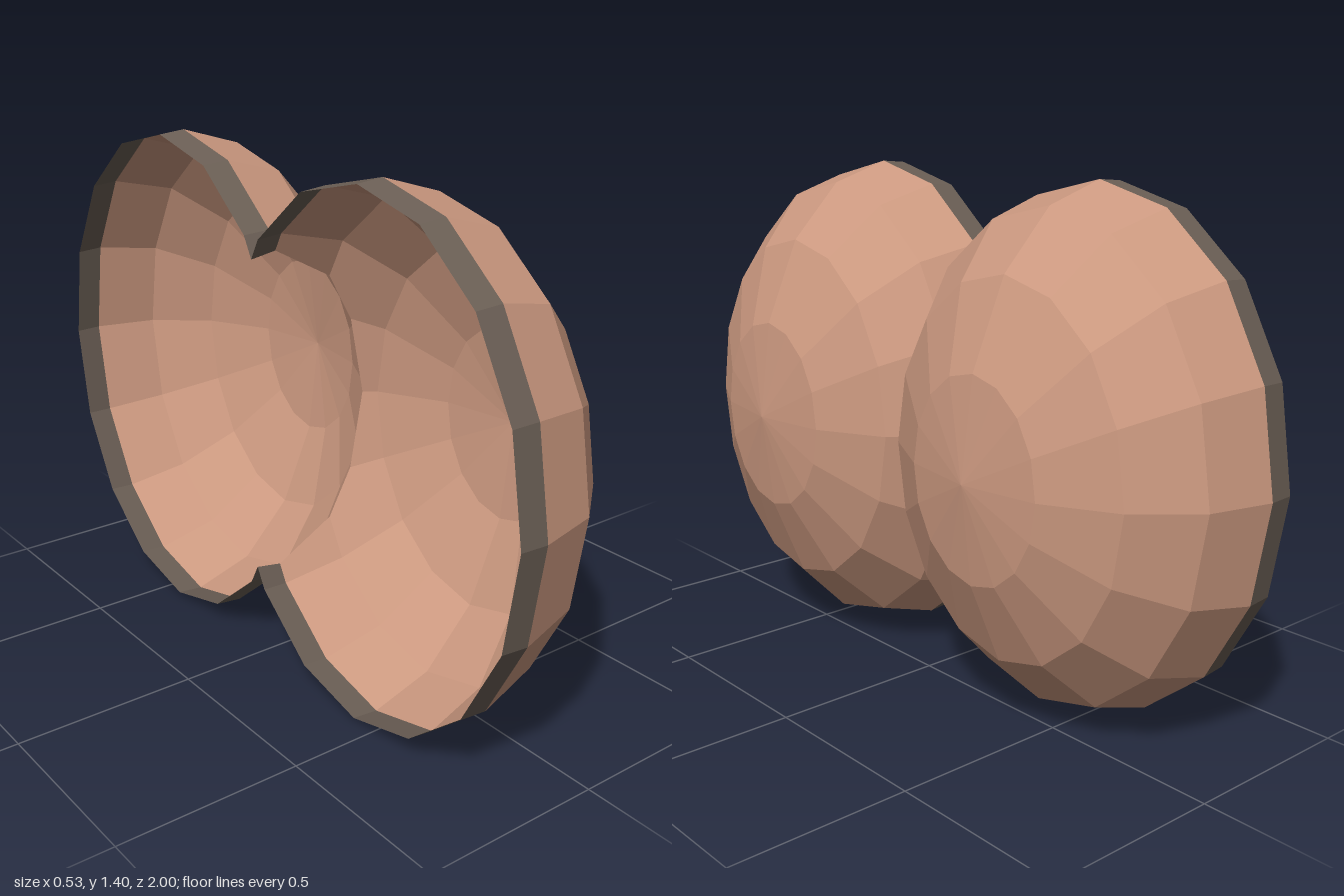
import * as THREE from 'three';

const SIDES = 16, RADIUS_Y = 0.702, RADIUS_Z = 0.57, DEPTH = 0.455;
const BASE_X = -0.19, CENTRE_Z = 0.43;

// Keep only the part of each triangle with z >= 0, so the two shells meet at a clean seam.
function clipAtSeam(geometry) {
  const source = geometry.toNonIndexed().attributes.position;
  const out = [];
  for (let i = 0; i < source.count; i += 3) {
    const corners = [0, 1, 2].map((k) => new THREE.Vector3().fromBufferAttribute(source, i + k));
    const kept = [];
    corners.forEach((a, k) => {
      const b = corners[(k + 1) % 3];
      if (a.z >= 0) kept.push(a);
      if (a.z >= 0 !== b.z >= 0) kept.push(a.clone().lerp(b, a.z / (a.z - b.z)));
    });
    for (let k = 1; k + 1 < kept.length; k++) {
      out.push(...kept[0].toArray(), ...kept[k].toArray(), ...kept[k + 1].toArray());
    }
  }
  const result = new THREE.BufferGeometry();
  result.setAttribute('position', new THREE.Float32BufferAttribute(out, 3));
  result.computeVertexNormals();
  return result;
}

// Revolve a profile of (radius, x) points about the x axis into an oval shell.
function shell(profile) {
  const geometry = new THREE.LatheGeometry(profile, SIDES);
  geometry.rotateZ(-Math.PI / 2);
  geometry.scale(1, RADIUS_Y, RADIUS_Z);
  geometry.translate(0, 0, CENTRE_Z);
  return clipAtSeam(geometry);
}

export function createModel() {
  const model = new THREE.Group();
  model.name = 'twinDomes';

  const domeMaterial = new THREE.MeshStandardMaterial({ color: 0xcc9980, flatShading: true, side: THREE.DoubleSide });
  domeMaterial.name = 'warm tan';
  const rimMaterial = new THREE.MeshStandardMaterial({ color: 0x6b5f55, flatShading: true, side: THREE.DoubleSide });
  rimMaterial.name = 'grey brown';

  // Quarter ellipse from the wide edge to the pole
  const domeProfile = [];
  for (let i = 0; i <= 4; i++) {
    const a = (i * Math.PI) / 8;
    domeProfile.push(new THREE.Vector2(i === 4 ? 0 : Math.cos(a), BASE_X + DEPTH * Math.sin(a)));
  }
  const domeGeometry = shell(domeProfile);

  // Narrow band around the open back
  const rimGeometry = shell([new THREE.Vector2(0.99, -0.265), new THREE.Vector2(1, BASE_X)]);

  // Front half, and the same half turned about x for the back
  for (const [name, turn] of [['front', 0], ['back', Math.PI]]) {
    const half = new THREE.Group();
    half.name = name + 'Half';
    const dome = new THREE.Mesh(domeGeometry, domeMaterial);
    dome.name = name + 'Dome';
    const rim = new THREE.Mesh(rimGeometry, rimMaterial);
    rim.name = name + 'Rim';
    half.add(dome, rim);
    half.rotation.x = turn;
    half.position.y = RADIUS_Y;
    model.add(half);
  }
  return model;
}
